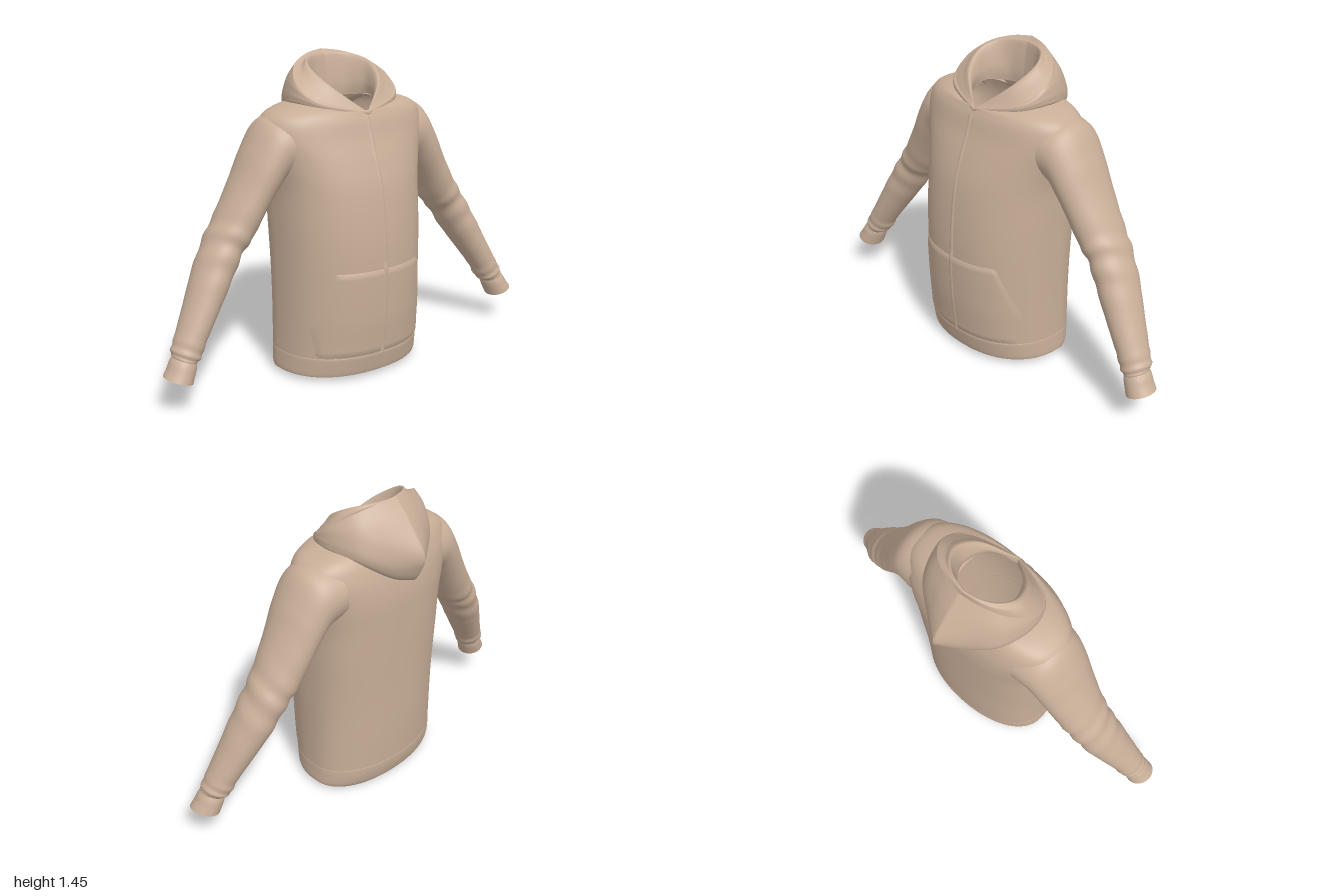
import * as THREE from 'three';

const fabric = new THREE.MeshStandardMaterial({ color: 0xc8ae98, side: THREE.DoubleSide });
fabric.name = 'tan fabric';

// Smoothly interpolate rows of numbers, t from 0 to 1
function sample(rows, t) {
  const n = rows.length - 1, s = Math.min(Math.max(t, 0), 1) * n;
  const i = Math.min(Math.floor(s), n - 1), f = s - i;
  const a = rows[Math.max(i - 1, 0)], b = rows[i], c = rows[i + 1], d = rows[Math.min(i + 2, n)];
  return b.map((_, k) => b[k] + 0.5 * f * (c[k] - a[k] + f * (2 * a[k] - 5 * b[k] + 4 * c[k] - d[k]
    + f * (3 * (b[k] - c[k]) + d[k] - a[k]))));
}

// Surface from point(u, v); u may wrap around, flip reverses the faces
function surface(nu, nv, point, wrap = false, flip = false) {
  const pos = [], idx = [], cols = wrap ? nu : nu + 1;
  for (let j = 0; j <= nv; j++)
    for (let i = 0; i < cols; i++) pos.push(...point(i / nu, j / nv));
  for (let j = 0; j < nv; j++)
    for (let i = 0; i < nu; i++) {
      const a = j * cols + i, b = j * cols + (i + 1) % cols, c = a + cols, d = b + cols;
      if (flip) idx.push(a, c, b, b, c, d);
      else idx.push(a, b, c, b, d, c);
    }
  const g = new THREE.BufferGeometry();
  g.setAttribute('position', new THREE.Float32BufferAttribute(pos, 3));
  g.setIndex(idx);
  g.computeVertexNormals();
  return g;
}

const ROUND = 2.25; // squareness of the body front
const power = (v, e) => Math.sign(v) * Math.abs(v) ** e;

// Point on a body section [y, half width, front z, back z, front dip, back dip]
function bodyPoint([y, w, zf, zb, dipFront, dipBack], u) {
  const a = u * Math.PI * 2, cos = Math.cos(a);
  // The back grows squarer towards the shoulder blades
  const e = 2 / (cos > 0 ? ROUND : 2.15 + 0.5 * THREE.MathUtils.smoothstep(y, 0.3, 1));
  const c = power(cos, e), dip = cos > 0 ? dipFront * cos * cos : -dipBack * cos;
  return [w * power(Math.sin(a), e), y - dip, c > 0 ? c * zf : -c * zb];
}

const bodyRows = [
  [0.112, 0.36, 0.309, -0.222, 0, 0], [0.3, 0.357, 0.326, -0.23, 0, 0], [0.53, 0.358, 0.332, -0.232, 0, 0],
  [0.7, 0.361, 0.323, -0.235, 0, 0], [0.88, 0.366, 0.298, -0.237, 0, 0], [1.0, 0.39, 0.263, -0.236, 0, 0],
  [1.1, 0.418, 0.225, -0.222, 0, 0], [1.17, 0.412, 0.203, -0.2, 0, 0], [1.213, 0.378, 0.188, -0.18, 0.01, 0],
  [1.242, 0.3, 0.18, -0.16, 0.025, 0], [1.26, 0.2, 0.174, -0.14, 0.05, 0.01], [1.255, 0.14, 0.168, -0.12, 0.06, 0.015],
];
const hemRows = [
  [0.024, 0.363, 0.29, -0.188, 0, 0.023], [0.038, 0.365, 0.295, -0.205, 0, 0.016],
  [0.075, 0.363, 0.303, -0.219, 0, 0.004], [0.112, 0.361, 0.31, -0.223, 0, 0], [0.116, 0.358, 0.306, -0.22, 0, 0],
];

// Front z of the body at a given x and y
function frontZ(x, y) {
  let i = 0;
  while (i < bodyRows.length - 2 && bodyRows[i + 1][0] < y) i++;
  const f = (y - bodyRows[i][0]) / (bodyRows[i + 1][0] - bodyRows[i][0]);
  const [, w, zf] = sample(bodyRows, (i + f) / (bodyRows.length - 1));
  return zf * Math.max(0, 1 - Math.abs(x / w) ** ROUND) ** (1 / ROUND);
}

// Sleeve sections [outer x, outer y, inner x, inner y, front z, back z], starting inside the body
const sleeveRows = [
  [0.31, 1.222, 0.29, 0.94, 0.15, -0.19], [0.42, 1.19, 0.352, 0.92, 0.14, -0.178],
  [0.5, 1.075, 0.4, 0.865, 0.132, -0.165], [0.56, 0.96, 0.45, 0.79, 0.12, -0.152],
  [0.645, 0.815, 0.51, 0.69, 0.108, -0.135], [0.715, 0.71, 0.57, 0.62, 0.103, -0.118],
  [0.79, 0.58, 0.64, 0.51, 0.118, -0.092], [0.86, 0.44, 0.72, 0.395, 0.132, -0.048],
  [0.915, 0.335, 0.785, 0.3, 0.142, -0.012], [0.945, 0.275, 0.82, 0.235, 0.148, 0.005],
  [0.943, 0.25, 0.85, 0.215, 0.145, 0.03],
];
const cuffRows = [
  [0.942, 0.258, 0.845, 0.22, 0.145, 0.028], [0.96, 0.237, 0.85, 0.198, 0.155, 0.024],
  [0.975, 0.21, 0.862, 0.168, 0.162, 0.026], [0.997, 0.18, 0.876, 0.135, 0.17, 0.03],
];

function sleevePoint(rows, side, wrinkle) {
  return (u, v) => {
    const [ox, oy, ix, iy, zf, zb] = sample(rows, v), a = u * Math.PI * 2;
    // Soft slanting folds around the elbow and above the cuff
    const elbow = Math.exp(-(((v - 0.5) / 0.1) ** 2)), wrist = Math.exp(-(((v - 0.89) / 0.08) ** 2));
    const k = 1 + wrinkle * (elbow * 0.04 * Math.sin(v * 70 + 2.5 * Math.sin(a))
      + wrist * 0.04 * Math.sin(v * 85 + 2.5 * Math.sin(a + 1)));
    const c = Math.cos(a) * k, s = Math.sin(a) * k;
    return [side * ((ox + ix) / 2 + c * (ox - ix) / 2), (oy + iy) / 2 + c * (oy - iy) / 2,
      (zf + zb) / 2 + s * (zf - zb) / 2];
  };
}

// Half loops of the hood, each running from centre front to centre back
const hoodOuter = [
  [[0, 1.195, 0.172], [0.1, 1.222, 0.12], [0.16, 1.245, 0], [0.14, 1.235, -0.08], [0.08, 1.21, -0.13], [0, 1.19, -0.16]],
  [[0, 1.198, 0.188], [0.19, 1.23, 0.12], [0.258, 1.246, 0], [0.215, 1.212, -0.145], [0.09, 1.12, -0.225], [0, 1.09, -0.265]],
  [[0, 1.202, 0.192], [0.205, 1.243, 0.12], [0.27, 1.272, 0], [0.225, 1.245, -0.165], [0.1, 1.175, -0.265], [0, 1.16, -0.325]],
  [[0, 1.206, 0.192], [0.207, 1.255, 0.118], [0.266, 1.3, 0], [0.22, 1.31, -0.15], [0.1, 1.26, -0.26], [0, 1.235, -0.338]],
  [[0, 1.209, 0.192], [0.205, 1.262, 0.115], [0.262, 1.32, 0], [0.21, 1.36, -0.13], [0.1, 1.36, -0.21], [0, 1.35, -0.262]],
  [[0, 1.212, 0.191], [0.2, 1.265, 0.11], [0.254, 1.335, 0], [0.2, 1.402, -0.095], [0.1, 1.44, -0.15], [0, 1.455, -0.172]],
];
const hoodInner = [
  hoodOuter[5],
  [[0, 1.212, 0.186], [0.16, 1.29, 0.105], [0.21, 1.36, 0], [0.165, 1.405, -0.085], [0.09, 1.43, -0.135], [0, 1.435, -0.155]],
  [[0, 1.21, 0.182], [0.125, 1.315, 0.1], [0.165, 1.385, 0], [0.14, 1.418, -0.075], [0.08, 1.425, -0.12], [0, 1.425, -0.14]],
  [[0, 1.2, 0.178], [0.1, 1.275, 0.1], [0.14, 1.305, 0], [0.12, 1.31, -0.06], [0.075, 1.3, -0.105], [0, 1.3, -0.12]],
  [[0, 1.188, 0.17], [0.1, 1.22, 0.115], [0.14, 1.25, 0], [0.118, 1.245, -0.07], [0.07, 1.24, -0.11], [0, 1.238, -0.122]],
];
function hoodPoint(loops) {
  return (u, v) => {
    const side = u <= 0.5 ? 1 : -1, t = u <= 0.5 ? u * 2 : 2 - u * 2;
    const [x, y, z] = sample(loops.map(l => sample(l, t)), v);
    return [side * x, y, z];
  };
}

// Front pocket: straight top, slanted hand openings
function pocketPoint(u, v) {
  const y = 0.116 + v * 0.414;
  const half = y < 0.27 ? THREE.MathUtils.mapLinear(y, 0.116, 0.27, 0.295, 0.318)
    : THREE.MathUtils.mapLinear(y, 0.27, 0.53, 0.318, 0.23);
  const x = (u * 2 - 1) * half, rim = u === 0 || u === 1 || v === 0 || v === 1;
  return [x, y, frontZ(x, y) + (rim ? -0.003 : 0.007)];
}

// Zip tape following the centre front
function zipPoint(u, v) {
  const x = (u - 0.5) * 0.024, y = 0.12 + v * 1.07;
  const base = y < 0.53 ? 0.006 : 0;
  return [x, y, frontZ(x, y) + base + (u === 0 || u === 1 ? -0.001 : 0.003)];
}

export function createModel() {
  const group = new THREE.Group();
  group.name = 'hoodedJacket';
  const torso = new THREE.Group(); // hangs slightly to one side
  torso.name = 'torso';
  torso.position.x = -0.008;
  group.add(torso);
  const add = (parent, name, geometry) => {
    const mesh = new THREE.Mesh(geometry, fabric);
    mesh.name = name;
    parent.add(mesh);
  };

  add(torso, 'body', surface(72, 66, (u, v) => bodyPoint(sample(bodyRows, v), u), true));
  add(torso, 'hemBand', surface(72, 12, (u, v) => bodyPoint(sample(hemRows, v), u), true));
  add(torso, 'pocket', surface(40, 24, pocketPoint));
  add(torso, 'zip', surface(4, 50, zipPoint));

  for (const [name, side] of [['left', 1], ['right', -1]]) {
    add(group, name + 'Sleeve', surface(36, 100, sleevePoint(sleeveRows, side, 1), true, side < 0));
    add(group, name + 'Cuff', surface(32, 10, sleevePoint(cuffRows, side, 0), true, side < 0));
  }

  add(group, 'hoodShell', surface(72, 30, hoodPoint(hoodOuter), true));
  add(group, 'hoodLining', surface(72, 24, hoodPoint(hoodInner), true));
  return group;
}
